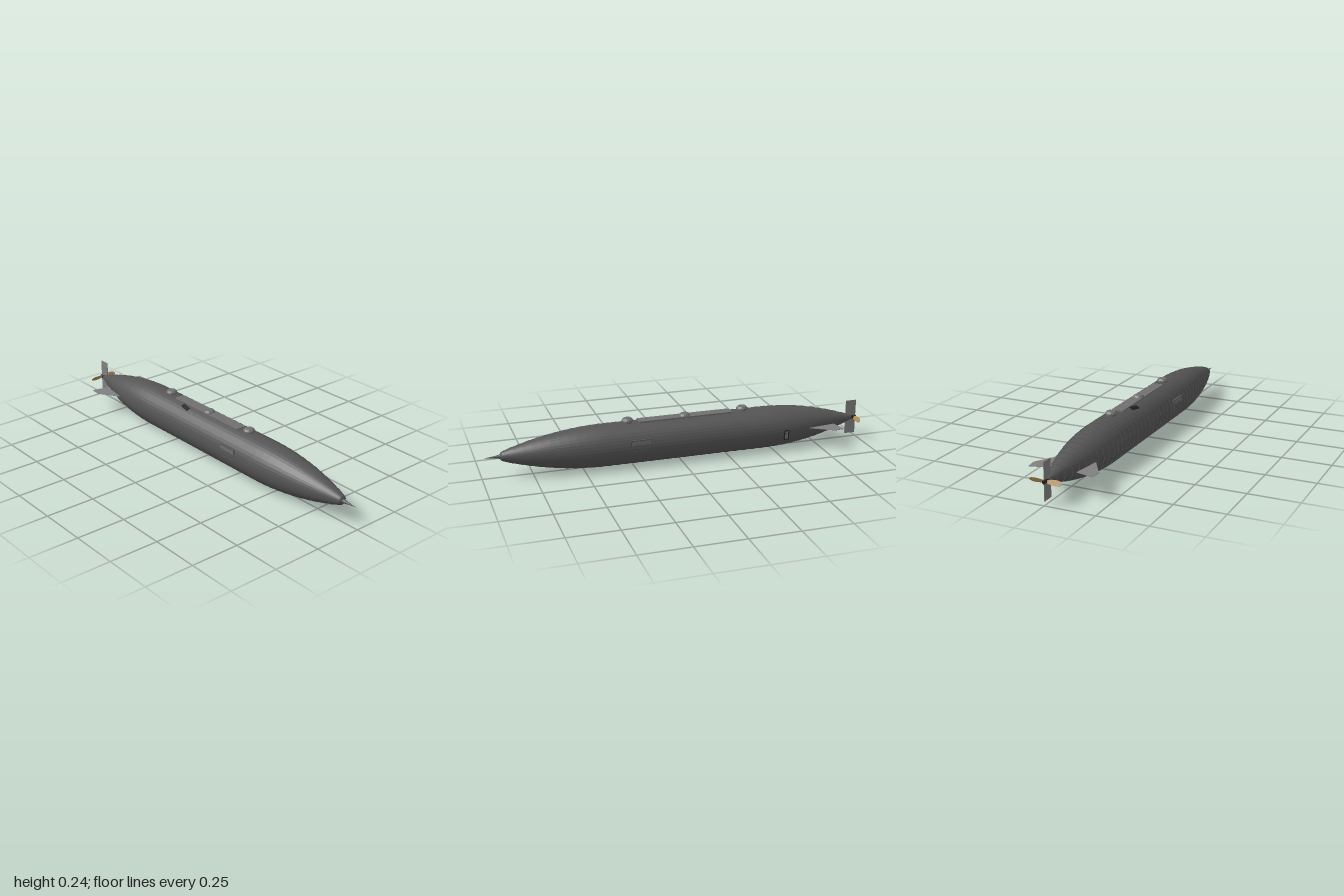
import * as THREE from 'three';

const CY = 0.111; // height of the hull axis
const mat = (color, extra = {}) => new THREE.MeshStandardMaterial({ color, side: THREE.DoubleSide, ...extra });

// Hull radius along x: parallel middle, parabolic bow and stern
function hullRadius(x) {
  if (x > 0.38) return 0.107 - 0.081 * ((x - 0.38) / 0.51) ** 2;
  if (x < -0.45) return 0.107 - 0.097 * ((-0.45 - x) / 0.52) ** 2;
  return 0.107;
}

export function createModel() {
  const model = new THREE.Group();
  const hullMat = mat(0x555555, { flatShading: true });
  const deckMat = mat(0x707070, { flatShading: true });
  const finMat = mat(0x808080);
  const darkMat = mat(0x222222);
  const brassMat = mat(0xb08d57);

  const add = (name, geometry, material, x = 0, y = 0, z = 0, parent = model) => {
    const mesh = new THREE.Mesh(geometry, material);
    mesh.name = name;
    mesh.position.set(x, y, z);
    parent.add(mesh);
    return mesh;
  };
  const box = (w, h, d) => new THREE.BoxGeometry(w, h, d);
  // Lathe around the x axis from [x, radius] pairs, running aft to bow
  const latheX = (pairs, sides) =>
    new THREE.LatheGeometry(pairs.map(([x, r]) => new THREE.Vector2(r, x)), sides).rotateZ(-Math.PI / 2);

  // Hull of ring plates, each with a slightly raised aft lip
  const rings = 42, x0 = -0.97, x1 = 0.89;
  const profile = [[-0.98, 0], [-0.976, 0.008]];
  for (let i = 0; i < rings; i++) {
    const a = x0 + ((x1 - x0) * i) / rings;
    const b = x0 + ((x1 - x0) * (i + 1)) / rings;
    profile.push([a, hullRadius(a) + 0.0018], [b, hullRadius(b)]);
  }
  profile.push([0.9, 0.022], [0.908, 0.012], [0.91, 0]);
  add('hull', latheX(profile, 40), hullMat, 0, CY);

  // Bow spike
  add('bowSpike', latheX([[0.895, 0.016], [0.915, 0.009], [0.94, 0.005], [0.985, 0]], 16), hullMat, 0, CY);

  // Deck walkway
  add('deck', box(0.49, 0.02, 0.056), deckMat, -0.035, 0.213);

  // Domed hatches at both ends and the middle of the deck
  const hatch = (x, top) => {
    const h = new THREE.Group();
    h.name = 'hatch';
    h.position.set(x, top, 0);
    const points = [[0.022, -0.035], [0.024, -0.02], [0.029, -0.018], [0.029, -0.011],
      [0.022, -0.002], [0.012, 0], [0, 0]].map(p => new THREE.Vector2(...p));
    add('hatchDome', new THREE.LatheGeometry(points, 16), deckMat, 0, 0, 0, h);
    model.add(h);
  };
  hatch(-0.345, 0.241);
  hatch(-0.035, 0.235);
  hatch(0.265, 0.241);

  // Rectangular side panels with a raised frame
  for (const s of [1, -1]) {
    const panel = new THREE.Group();
    panel.name = 'sidePanel';
    panel.position.set(0.223, 0.125, s * 0.095);
    add('panelPlate', box(0.1, 0.055, 0.022), deckMat, 0, 0, 0, panel);
    for (const e of [1, -1]) {
      add('panelFrame', box(0.108, 0.004, 0.026), hullMat, 0, e * 0.029, 0, panel);
      add('panelFrame', box(0.004, 0.062, 0.026), hullMat, e * 0.052, 0, 0, panel);
    }
    model.add(panel);
  }

  // Dark slot beside the deck
  const slot = add('deckSlot', box(0.055, 0.006, 0.022), darkMat, -0.175, CY + 0.1, 0.043);
  slot.rotation.x = 0.41;
  slot.rotation.y = -0.2;

  // Small framed fitting on the far side near the stern
  const fitting = new THREE.Group();
  fitting.name = 'sternFitting';
  fitting.position.set(-0.555, 0.093, -0.099);
  add('fittingPlate', box(0.016, 0.042, 0.016), deckMat, 0, 0, 0, fitting);
  for (const e of [1, -1]) {
    add('fittingRail', box(0.004, 0.05, 0.019), darkMat, e * 0.011, 0, 0, fitting);
    add('fittingBar', box(0.022, 0.004, 0.019), darkMat, 0, e * 0.023, 0, fitting);
  }
  model.add(fitting);

  // Horizontal stern fins
  for (const s of [1, -1]) {
    const shape = new THREE.Shape([[-0.857, 0.16], [-0.8, 0.165], [-0.687, 0.093], [-0.835, 0.072]]
      .map(([x, z]) => new THREE.Vector2(x, s * z)));
    const g = new THREE.ExtrudeGeometry(shape, { depth: 0.002, bevelEnabled: false }).rotateX(Math.PI / 2);
    add('sternFin', g, finMat, 0, CY + 0.001);
  }

  // Rudder plate
  add('rudder', box(0.058, 0.183, 0.003), finMat, -0.967, 0.113);

  // Two-bladed propeller with a dark hub
  const propeller = new THREE.Group();
  propeller.name = 'propeller';
  propeller.position.set(-0.984, CY, 0);
  add('propellerHub', new THREE.CylinderGeometry(0.009, 0.011, 0.03, 16).rotateZ(Math.PI / 2), darkMat, 0, 0, 0, propeller);
  for (const s of [1, -1]) {
    const outline = new THREE.Shape();
    outline.moveTo(-0.005, 0);
    outline.bezierCurveTo(-0.016, 0.035, -0.018, 0.08, 0, 0.08);
    outline.bezierCurveTo(0.018, 0.08, 0.016, 0.035, 0.005, 0);
    const blade = new THREE.ExtrudeGeometry(outline, { depth: 0.002, bevelEnabled: false, curveSegments: 8 });
    blade.translate(0, 0, -0.001).rotateY(Math.PI / 2 - 0.45).rotateX(s * Math.PI / 2);
    add('propellerBlade', blade, brassMat, 0, 0, 0, propeller);
  }
  model.add(propeller);

  return model;
}
